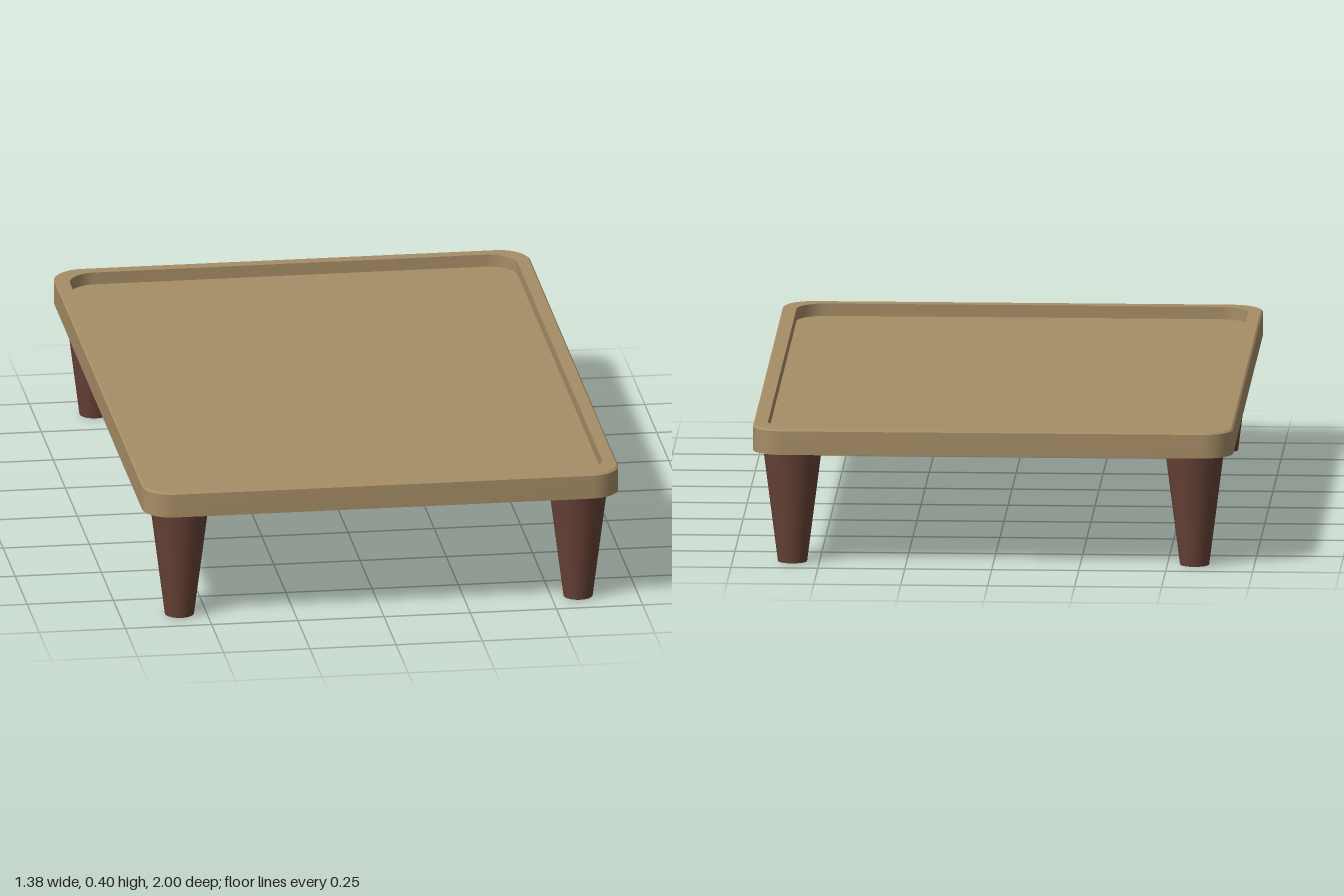
import * as THREE from 'three';
import { toCreasedNormals } from 'three/addons/utils/BufferGeometryUtils.js';

const HALF_X = 0.69, HALF_Z = 1, RADIUS = 0.085, RIM = 0.041;
const FLOOR_Y = 0.368, CORNER_STEPS = 10;

// Rounded rectangle outline, inset from the tray's outer edge
function outline(inset) {
  const points = [];
  const cx = HALF_X - inset - RADIUS, cz = HALF_Z - inset - RADIUS;
  [[1, 1], [-1, 1], [-1, -1], [1, -1]].forEach(([sx, sz], corner) => {
    for (let i = 0; i <= CORNER_STEPS; i++) {
      const a = (corner + i / CORNER_STEPS) * Math.PI / 2;
      points.push(new THREE.Vector2(sx * cx + RADIUS * Math.cos(a), sz * cz + RADIUS * Math.sin(a)));
    }
  });
  return points;
}

// Skin joining rounded outlines given as [inset, y]
function shell(sections) {
  const positions = [], index = [];
  const n = outline(0).length;
  for (const [inset, y] of sections) {
    for (const p of outline(inset)) positions.push(p.x, y, p.y);
  }
  for (let s = 0; s < sections.length - 1; s++) {
    for (let i = 0; i < n; i++) {
      const a = s * n + i, b = s * n + (i + 1) % n;
      index.push(a, a + n, b, b, a + n, b + n);
    }
  }
  const geometry = new THREE.BufferGeometry();
  geometry.setAttribute('position', new THREE.Float32BufferAttribute(positions, 3));
  geometry.setIndex(index);
  return toCreasedNormals(geometry, 0.5);
}

export function createModel() {
  const model = new THREE.Group();
  model.name = 'lowTable';
  const wood = new THREE.MeshStandardMaterial({ color: 0xa68d66, side: THREE.DoubleSide });
  wood.name = 'lightWood';
  const legWood = new THREE.MeshStandardMaterial({ color: 0x674236 });
  legWood.name = 'darkWood';

  // Raised rim, open underneath, with a fine bevel on its outer top edge
  const rim = new THREE.Mesh(shell([
    [0, 0.33], [0, 0.399], [0.005, 0.404], [RIM, 0.404], [RIM, FLOOR_Y],
  ]), wood);
  rim.name = 'trayRim';
  model.add(rim);

  // Sunken table surface
  const surface = new THREE.Mesh(new THREE.ShapeGeometry(new THREE.Shape(outline(RIM))), wood);
  surface.name = 'tableSurface';
  surface.rotation.x = -Math.PI / 2;
  surface.position.y = FLOOR_Y;
  model.add(surface);

  // Four tapered round legs reaching up to the surface
  const legHeight = FLOOR_Y - 0.002;
  const legGeometry = new THREE.CylinderGeometry(0.089, 0.042, legHeight, 32);
  for (const [side, sx] of [['Left', 1], ['Right', -1]]) {
    for (const [end, sz] of [['front', 1], ['back', -1]]) {
      const leg = new THREE.Mesh(legGeometry, legWood);
      leg.name = `${end}${side}Leg`;
      leg.position.set(sx * 0.578, legHeight / 2, sz * 0.888);
      model.add(leg);
    }
  }
  return model;
}
